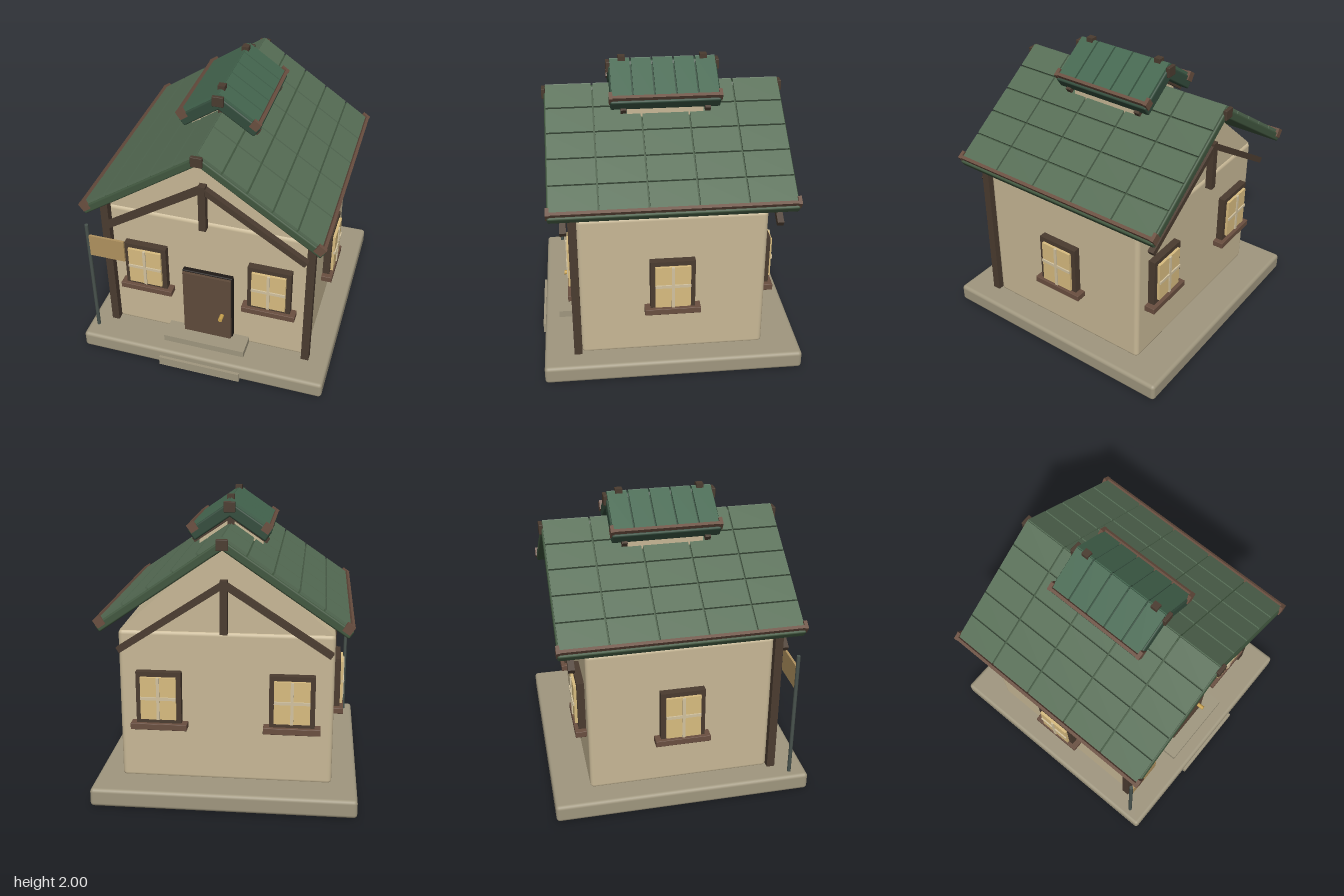
import * as THREE from 'three';
import { RoundedBoxGeometry } from 'three/addons/geometries/RoundedBoxGeometry.js';

const mat = (color) => new THREE.MeshStandardMaterial({ color });
const M = {
  stone: mat(0xa0977f), wall: mat(0xc8b896), wood: mat(0x4b3c30), trim: mat(0x6a4f40),
  door: mat(0x5f4b3b), tile: mat(0x566d55), slab: mat(0x41573f), capTile: mat(0x456750),
  capSlab: mat(0x334c3c), glass: mat(0xd9bd80), bar: mat(0xd3c3a0), dark: mat(0x1f1a17),
  pole: mat(0x48524d), sign: mat(0xb0925f), brass: mat(0xc9a24e),
};
const SLOPE = 0.602;

function add(parent, name, geometry, material, x = 0, y = 0, z = 0) {
  const m = new THREE.Mesh(geometry, material);
  m.name = name;
  m.position.set(x, y, z);
  parent.add(m);
  return m;
}

// Box given by its lower and upper corners; r rounds the edges
function box(parent, name, material, a, b, r = 0) {
  const s = a.map((v, i) => b[i] - v);
  const g = r ? new RoundedBoxGeometry(...s, 3, r) : new THREE.BoxGeometry(...s);
  return add(parent, name, g, material, ...a.map((v, i) => (v + b[i]) / 2));
}

function group(parent, name) {
  const g = new THREE.Group();
  g.name = name;
  parent.add(g);
  return g;
}

// Triangular wall under a roof
function gable(parent, name, halfWidth, y0, y1, halfDepth) {
  const s = new THREE.Shape([
    new THREE.Vector2(-halfWidth, y0), new THREE.Vector2(halfWidth, y0), new THREE.Vector2(0, y1)]);
  const g = new THREE.ExtrudeGeometry(s, { depth: halfDepth * 2, bevelEnabled: false });
  add(parent, name, g, M.wall, 0, 0, -halfDepth);
}

// Two tiled slopes with eave strips, corner blocks and ridge end caps
function roof(parent, name, o) {
  const g = group(parent, name);
  const { length: L, half: H, thick, rows, cols } = o;
  for (const side of [0, Math.PI]) {
    const turn = group(g, name + 'Side');
    turn.rotation.y = side;
    const p = group(turn, name + 'Slope');
    p.position.y = o.ridge;
    p.rotation.z = -SLOPE;
    box(p, 'roofSlab', o.slab, [0, -thick, -H], [L, -0.018, H], 0.012);
    const end = L - 0.035, ds = end / rows, dz = (2 * H - 0.01) / cols;
    for (let i = 0; i < rows; i++) {
      for (let j = 0; j < cols; j++) {
        const z = -H + 0.005 + j * dz;
        box(p, 'roofTile', o.tile, [i * ds + 0.006, -0.03, z + 0.006],
          [(i + 1) * ds - 0.006, 0, z + dz - 0.006]);
      }
    }
    box(p, 'eaveStrip', M.trim, [L - 0.038, -0.025, -H - 0.005], [L - 0.016, 0.013, H + 0.005]);
    for (const s of [-1, 1]) {
      const z = s * (H - 0.003);
      box(p, 'eaveCorner', M.trim, [L - 0.07, -0.05, z - 0.012], [L - 0.012, 0.013, z + 0.012]);
    }
  }
  for (const s of [-1, 1]) {
    const z = s * (H + 0.003);
    box(g, 'ridgeEndCap', M.wood, [-0.038, o.ridge - 0.09, z - 0.013],
      [0.038, o.ridge - 0.02, z + 0.013], 0.004);
  }
}

// King post with two sloping braces
function truss(parent, z, o) {
  const g = group(parent, 'gableTruss');
  const w = o.width / 2;
  box(g, 'kingPost', M.wood, [-w, o.postBottom, z - w], [w, o.top + 0.01, z + w]);
  for (const s of [-1, 1]) {
    const dx = o.reach, dy = o.top - o.bottom;
    const m = add(g, 'brace', new THREE.BoxGeometry(Math.hypot(dx, dy), o.width * 0.85, o.width * 0.9),
      M.wood, s * dx / 2, (o.top + o.bottom) / 2 - 0.015, z);
    m.rotation.z = -s * Math.atan2(dy, dx);
  }
}

// Window facing +z, origin on the wall surface at the frame's bottom centre
function windowUnit(parent, name, x, y, z, turn, paneBottom) {
  const g = group(parent, name);
  g.position.set(x, y, z);
  g.rotation.y = turn;
  const h = 0.355, f = 0.032;
  for (const s of [-1, 1]) {
    box(g, 'frameSide', M.wood, [s * 0.134 - 0.016, 0, -0.02], [s * 0.134 + 0.016, h, 0.05]);
  }
  box(g, 'frameTop', M.wood, [-0.15, h - f, -0.02], [0.15, h, 0.05]);
  box(g, 'frameBottom', M.wood, [-0.15, 0, -0.02], [0.15, f, 0.05]);
  box(g, 'glass', M.glass, [-0.118, paneBottom, -0.02], [0.118, h - f, 0.069]);
  box(g, 'verticalBar', M.bar, [-0.01, paneBottom, 0.06], [0.01, h - f, 0.078]);
  box(g, 'horizontalBar', M.bar, [-0.118, 0.169, 0.06], [0.118, 0.189, 0.078]);
  box(g, 'sill', M.trim, [-0.188, -0.042, -0.02], [0.188, 0.002, 0.076], 0.004);
}

export function createModel() {
  const root = new THREE.Group();
  root.name = 'cottage';
  const h = group(root, 'house');
  h.position.z = -0.01;

  // Plinth and steps
  box(h, 'plinth', M.stone, [-0.88, 0, -0.88], [0.88, 0.125, 0.88], 0.025);
  box(h, 'lowerStep', M.stone, [-0.295, 0, 0.8], [0.295, 0.07, 0.9]);
  box(h, 'doorStep', M.stone, [-0.295, 0.12, 0.6], [0.295, 0.175, 0.78]);

  // Walls
  box(h, 'walls', M.wall, [-0.71, 0.11, -0.625], [0.71, 1.155, 0.625], 0.03);
  gable(h, 'gable', 0.7, 1.15, 1.77, 0.612);
  for (const s of [-1, 1]) {
    box(h, 'cornerPost', M.wood, [s * 0.713 - 0.027, 0.12, 0.622], [s * 0.713 + 0.027, 1.2, 0.677]);
  }

  // Door
  box(h, 'doorFrame', M.dark, [-0.18, 0.17, 0.6], [0.18, 0.73, 0.66], 0.008);
  box(h, 'door', M.door, [-0.172, 0.175, 0.62], [0.172, 0.72, 0.68]);
  const knob = add(h, 'doorKnob', new THREE.CylinderGeometry(0.015, 0.015, 0.05, 16), M.brass, 0.11, 0.39, 0.705);
  knob.rotation.x = Math.PI / 2;

  // Windows: two in front, two at the back, one on each side
  for (const s of [-1, 1]) {
    windowUnit(h, 'frontWindow', s * 0.44, 0.53, 0.625, 0, 0.032);
    windowUnit(h, 'backWindow', s * 0.44, 0.53, -0.625, Math.PI, 0.032);
    windowUnit(h, 'sideWindow', s * 0.71, 0.488, 0.005, s * Math.PI / 2, 0.015);
  }

  // Main roof and gable trusses
  roof(h, 'mainRoof', {
    ridge: 1.815, length: 1.005, half: 0.8, thick: 0.075, rows: 5, cols: 5, slab: M.slab, tile: M.tile });
  for (const s of [-1, 1]) {
    truss(h, s * 0.71, { width: 0.048, postBottom: 1.17, top: 1.51, bottom: 1.06, reach: 0.69 });
  }

  // Roof lantern
  const c = group(h, 'lantern');
  box(c, 'lanternWalls', M.wall, [-0.215, 1.5, -0.255], [0.215, 1.71, 0.255]);
  gable(c, 'lanternGable', 0.21, 1.7, 1.9, 0.25);
  roof(c, 'lanternRoof', {
    ridge: 1.985, length: 0.352, half: 0.365, thick: 0.1, rows: 1, cols: 5, slab: M.capSlab, tile: M.capTile });
  for (const s of [-1, 1]) {
    truss(c, s * 0.28, { width: 0.042, postBottom: 1.74, top: 1.88, bottom: 1.71, reach: 0.25 });
    box(c, 'ridgePeg', M.wood, [-0.024, 1.95, s * 0.275 - 0.024], [0.024, 2, s * 0.275 + 0.024]);
  }

  // Hanging sign on a pole
  add(h, 'signPole', new THREE.CylinderGeometry(0.013, 0.013, 0.94, 12), M.pole, -0.813, 0.587, 0.76);
  box(h, 'signBoard', M.sign, [-0.803, 0.8, 0.752], [-0.55, 0.97, 0.768]);
  return root;
}
